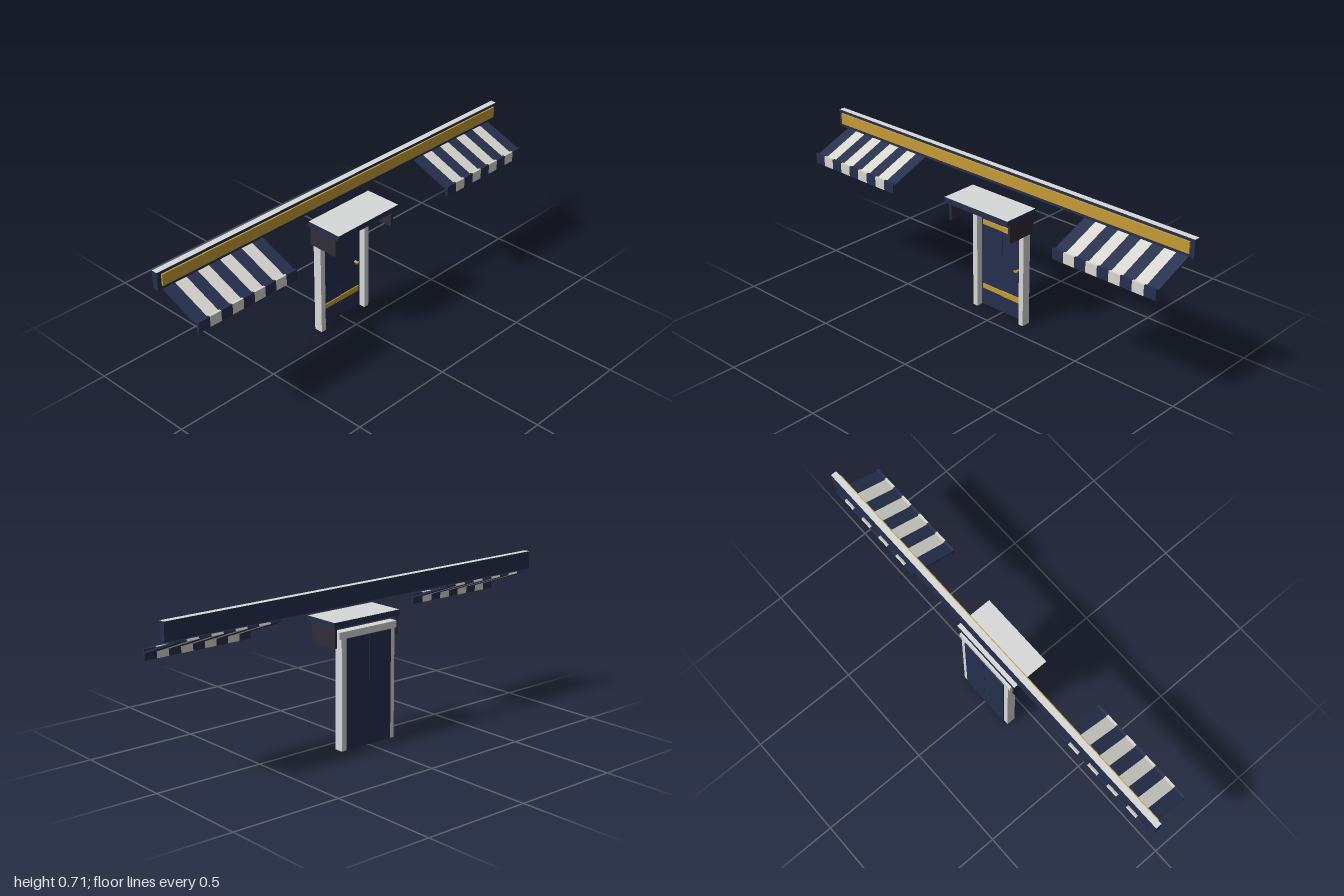
import * as THREE from 'three';

function mat(name, color) {
  const m = new THREE.MeshStandardMaterial({ color });
  m.name = name;
  return m;
}

export function createModel() {
  const navy = mat('navy', 0x25304d);
  const gold = mat('gold', 0xc79c35);
  const stone = mat('pale stone', 0xd8d9d9);
  const canvas = mat('off-white canvas', 0xd8d7d0);
  const dark = mat('dark bracket', 0x302d38);
  // Navy box with a pale upper face
  const paleTop = [navy, navy, stone, navy, navy, navy];

  const model = new THREE.Group();
  model.name = 'shopfront';

  // Box given by its extents along each axis
  function box(parent, name, material, [x0, x1], [y0, y1], [z0, z1]) {
    const mesh = new THREE.Mesh(new THREE.BoxGeometry(x1 - x0, y1 - y0, z1 - z0), material);
    mesh.position.set((x0 + x1) / 2, (y0 + y1) / 2, (z0 + z1) / 2);
    mesh.name = name;
    parent.add(mesh);
    return mesh;
  }

  // Long sign board with gold panel
  box(model, 'signBoard', paleTop, [-1, 1], [0.627, 0.707], [-0.097, -0.069]);
  box(model, 'signPanel', gold, [-0.98, 0.98], [0.643, 0.694], [-0.069, -0.062]);

  // Striped awnings: sloping strips with a hanging valance
  const stripes = 9, left = 0.456, right = 0.965;
  const w = (right - left) / stripes;
  const back = { y: 0.622, z: -0.107 }, front = { y: 0.539, z: 0.104 };
  const dy = back.y - front.y, dz = front.z - back.z;
  for (const side of [-1, 1]) {
    const awning = new THREE.Group();
    awning.name = side > 0 ? 'leftAwning' : 'rightAwning';
    for (let i = 0; i < stripes; i++) {
      const m = i % 2 ? canvas : navy;
      const x = side * (left + w * (i + 0.5));
      const strip = new THREE.Mesh(new THREE.BoxGeometry(w, 0.009, Math.hypot(dy, dz)), m);
      strip.name = 'awningStripe';
      strip.position.set(x, (back.y + front.y) / 2, (back.z + front.z) / 2);
      strip.rotation.x = Math.atan2(dy, dz);
      awning.add(strip);
      box(awning, 'valanceStripe', m, [x - w / 2, x + w / 2], [0.506, 0.553], [0.103, 0.114]);
    }
    model.add(awning);
  }

  // Door canopy on two side brackets
  box(model, 'canopy', paleTop, [-0.18, 0.18], [0.538, 0.564], [-0.102, 0.073]);
  for (const s of [-1, 1]) {
    const x = s * 0.169;
    box(model, 'canopyBracket', dark, [x - 0.006, x + 0.006], [0.452, 0.538], [-0.097, 0.05]);
  }

  // Door frame
  for (const s of [-1, 1]) {
    const x = s * 0.135;
    box(model, 'framePost', stone, [x - 0.0125, x + 0.0125], [0, 0.49], [-0.108, -0.067]);
  }
  box(model, 'lintel', stone, [-0.16, 0.16], [0.49, 0.52], [-0.108, -0.067]);

  // Two door leaves with gold straps
  const door = new THREE.Group();
  door.name = 'door';
  model.add(door);
  for (const s of [-1, 1]) {
    const x = s * 0.0617;
    box(door, 'doorLeaf', navy, [x - 0.0612, x + 0.0612], [0.003, 0.49], [-0.113, -0.098]);
    const h = s > 0 ? 0.013 : 0.011;
    for (const y of [0.097, 0.412]) {
      box(door, 'hingeStrap', gold, [s * 0.056 - 0.056, s * 0.056 + 0.056], [y - h, y + h], [-0.098, -0.093]);
    }
  }

  // Handle: short stem and lever
  const stem = new THREE.Mesh(new THREE.CylinderGeometry(0.006, 0.006, 0.016, 16), gold);
  stem.rotation.x = Math.PI / 2;
  stem.position.set(0.094, 0.243, -0.09);
  stem.name = 'handleStem';
  door.add(stem);
  box(door, 'handleLever', gold, [0.083, 0.1], [0.239, 0.247], [-0.084, -0.078]);

  return model;
}
